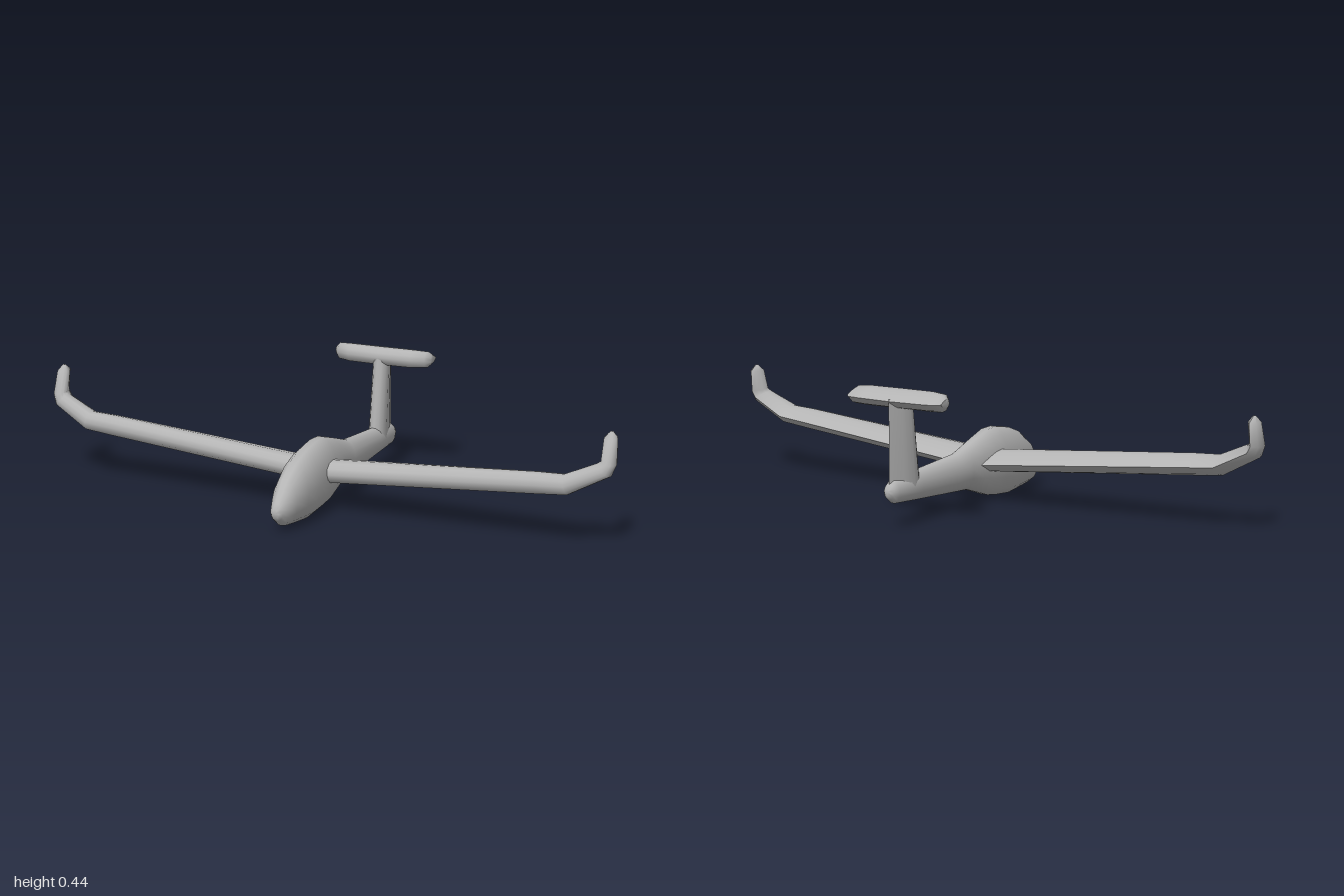
import * as THREE from 'three';
import { toCreasedNormals } from 'three/addons/utils/BufferGeometryUtils.js';

// Skin a list of closed rings and close both ends with fans
function loft(rings, crease = 0.95) {
  const n = rings[0].length, pos = rings.flat(), idx = [];
  for (let i = 0; i < rings.length - 1; i++) {
    for (let j = 0; j < n; j++) {
      const a = i * n + j, b = i * n + (j + 1) % n;
      idx.push(a, b, a + n, b, b + n, a + n);
    }
  }
  for (const last of [false, true]) {
    const ring = last ? rings[rings.length - 1] : rings[0];
    const mid = ring.reduce((s, p) => s.add(p), new THREE.Vector3()).divideScalar(n);
    const c = pos.push(mid) - 1, base = last ? (rings.length - 1) * n : 0;
    for (let j = 0; j < n; j++) {
      const a = base + j, b = base + (j + 1) % n;
      if (last) idx.push(a, b, c); else idx.push(b, a, c);
    }
  }
  // Turn the faces outward if the enclosed volume is negative
  let volume = 0;
  const cross = new THREE.Vector3();
  for (let k = 0; k < idx.length; k += 3) {
    volume += pos[idx[k]].dot(cross.crossVectors(pos[idx[k + 1]], pos[idx[k + 2]]));
  }
  if (volume < 0) idx.reverse();
  const g = new THREE.BufferGeometry().setFromPoints(pos);
  g.setIndex(idx);
  return toCreasedNormals(g, crease);
}

// Aerofoil outlines: [fraction of chord, fraction of half thickness]
const wingFoil = [[0, 0], [0.04, 0.5], [0.15, 0.88], [0.32, 1], [0.52, 0.85], [0.76, 0.47],
  [1, 0], [0.73, -0.72], [0.42, -1], [0.15, -0.87], [0.04, -0.5]];
const finFoil = [[0, 0], [0.04, 0.55], [0.15, 0.9], [0.32, 1], [0.6, 0.7],
  [1, 0], [0.6, -0.7], [0.32, -1], [0.15, -0.9], [0.04, -0.55]];

// One section: centre x, y, tilt of its thickness axis, half thickness, leading and trailing z
const section = (foil, [x, y, tilt, half, lead, trail]) => foil.map(([f, t]) => new THREE.Vector3(
  x - Math.sin(tilt) * half * t, y + Math.cos(tilt) * half * t, lead + (trail - lead) * f));

// Mirror the sections about the centre plane to span both sides
function span(foil, stations) {
  const left = stations.map((s) => section(foil, s));
  const right = left.slice(1).reverse().map((r) => r.map((p) => new THREE.Vector3(-p.x, p.y, p.z)));
  return loft([...right, ...left]);
}

export function createModel() {
  const model = new THREE.Group();
  const grey = new THREE.MeshStandardMaterial({ color: 0xb4b4b4 });
  grey.name = 'plain grey';
  const add = (name, geometry) => {
    const mesh = new THREE.Mesh(geometry, grey);
    mesh.name = name;
    model.add(mesh);
  };

  // Fuselage: z, bottom, top, half width
  const body = [
    [0.44, 0.058, 0.086, 0.012], [0.428, 0.045, 0.103, 0.022], [0.4, 0.022, 0.135, 0.034],
    [0.37, 0.016, 0.168, 0.044], [0.31, 0.009, 0.209, 0.054], [0.245, 0.002, 0.233, 0.059],
    [0.17, 0.008, 0.246, 0.06], [0.115, 0.016, 0.244, 0.057], [0.05, 0.038, 0.224, 0.05],
    [-0.01, 0.057, 0.204, 0.043], [-0.065, 0.06, 0.186, 0.039], [-0.285, 0.074, 0.17, 0.031],
    [-0.41, 0.083, 0.16, 0.027], [-0.43, 0.098, 0.148, 0.02], [-0.44, 0.112, 0.134, 0.01],
  ];
  add('fuselage', loft(body.map(([z, low, high, w]) => Array.from({ length: 14 }, (_, i) => {
    const a = i / 14 * Math.PI * 2;
    return new THREE.Vector3(Math.cos(a) * w, (low + high) / 2 + Math.sin(a) * (high - low) / 2, z);
  }))));

  // Main wing with slight dihedral and upturned tips
  add('wing', span(wingFoil, [
    [0, 0.134, 0, 0.037, 0.192, 0.022],
    [0.76, 0.199, 0.09, 0.035, 0.195, 0.083],
    [0.852, 0.206, 0.25, 0.033, 0.195, 0.091],
    [0.965, 0.263, 0.85, 0.029, 0.178, 0.095],
    [0.977, 0.285, 1.4, 0.024, 0.17, 0.092],
    [0.975, 0.358, 1.55, 0.021, 0.146, 0.086],
    [0.976, 0.378, 1.57, 0.005, 0.125, 0.114],
  ]));

  // Upright fin
  add('tailFin', loft([
    [0, 0.125, Math.PI / 2, 0.029, -0.28, -0.431],
    [0, 0.415, Math.PI / 2, 0.026, -0.318, -0.429],
  ].map((s) => section(finFoil, s))));

  // Tailplane on top of the fin
  add('tailplane', span(wingFoil, [
    [0, 0.409, 0, 0.031, -0.316, -0.434],
    [0.115, 0.409, 0, 0.031, -0.322, -0.427],
    [0.162, 0.409, 0, 0.028, -0.338, -0.421],
    [0.178, 0.41, 0, 0.014, -0.358, -0.405],
  ]));

  return model;
}
